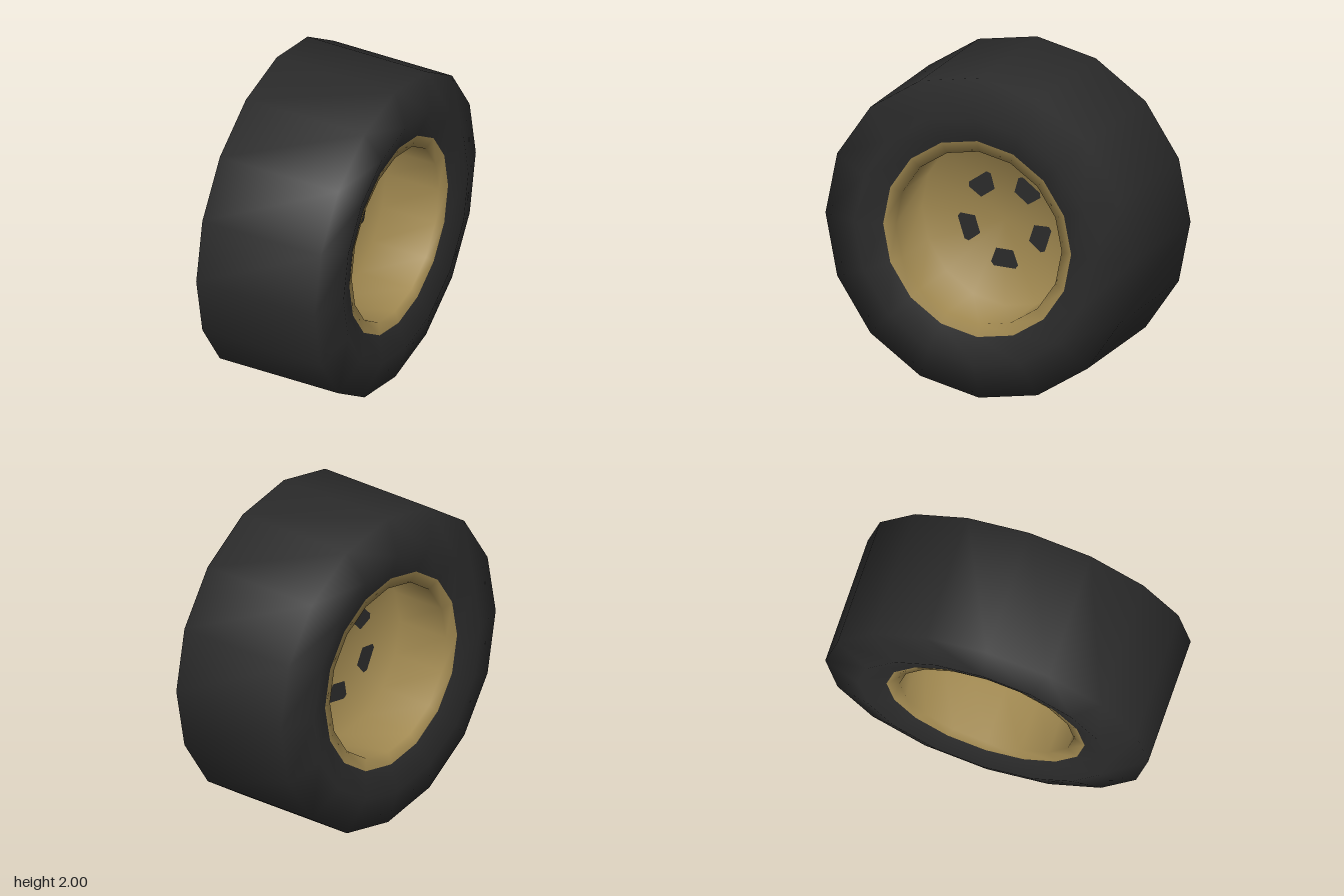
import * as THREE from 'three';

const SIDES = 16;

const rubber = new THREE.MeshStandardMaterial({ color: 0x2b2b2b });
rubber.name = 'dark rubber';
const gold = new THREE.MeshStandardMaterial({ color: 0xa08850 });
gold.name = 'dull gold';

// Revolve [radius, x] points around the x axis
function revolve(profile, material, name) {
  const points = profile.map(([r, x]) => new THREE.Vector2(r, x));
  const geometry = new THREE.LatheGeometry(points, SIDES).rotateZ(-Math.PI / 2);
  const mesh = new THREE.Mesh(geometry, material);
  mesh.name = name;
  return mesh;
}

// One wheel face looking along +x; twist turns its ring of holes
function createWheelFace(name, twist) {
  const face = new THREE.Group();
  face.name = name;

  // Sloping rim, straight deep wall and flat centre disc
  face.add(revolve([[0.613, 0.418], [0.54, 0.395], [0.54, 0.042], [0, 0.042]], gold, 'rimDish'));

  // Five tapered openings, wider on the outside
  const outline = [[-0.07, -0.298], [0.07, -0.298], [0.088, -0.275], [0.055, -0.185], [-0.055, -0.185], [-0.088, -0.275]];
  const shape = new THREE.Shape(outline.map(([u, v]) => new THREE.Vector2(u, v)));
  for (let i = 0; i < 5; i++) {
    const geometry = new THREE.ShapeGeometry(shape)
      .rotateZ(twist + i * Math.PI * 2 / 5)
      .rotateY(Math.PI / 2)
      .translate(0.046, 0, 0);
    const hole = new THREE.Mesh(geometry, rubber);
    hole.name = 'rimHole' + (i + 1);
    face.add(hole);
  }
  return face;
}

export function createModel() {
  const model = new THREE.Group();
  model.name = 'wheel';

  // Tyre: sidewall, shoulder, tread, shoulder, sidewall
  const tyre = revolve([
    [0.613, -0.418], [0.775, -0.467], [1, -0.395],
    [1, 0.395], [0.775, 0.467], [0.613, 0.418],
  ], rubber, 'tyre');

  const leftFace = createWheelFace('leftWheelFace', 0);
  const rightFace = createWheelFace('rightWheelFace', -0.17);
  rightFace.rotation.y = Math.PI;

  const wheel = new THREE.Group();
  wheel.name = 'wheelAssembly';
  wheel.position.y = 1;
  wheel.add(tyre, leftFace, rightFace);
  model.add(wheel);
  return model;
}
